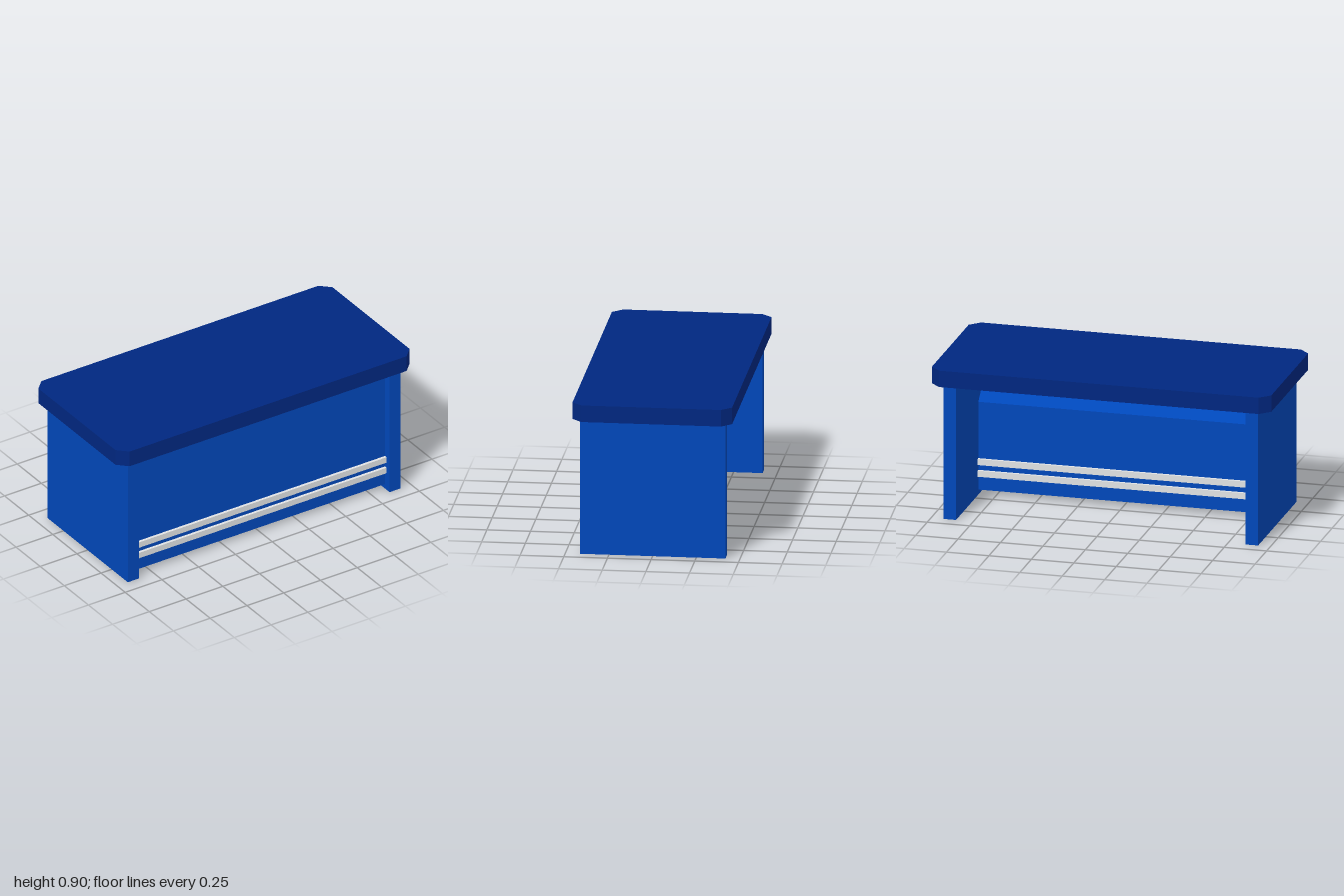
import * as THREE from 'three';

const navy = new THREE.MeshStandardMaterial({ name: 'navy top', color: 0x002780 });
const blue = new THREE.MeshStandardMaterial({ name: 'blue body', color: 0x0047ba });
const silver = new THREE.MeshStandardMaterial({ name: 'silver trim', color: 0xe0e2e4 });

// Prism from a 2D outline, extruded along +z from 0
function prism(points, depth) {
  const shape = new THREE.Shape(points.map(([x, y]) => new THREE.Vector2(x, y)));
  return new THREE.ExtrudeGeometry(shape, { depth, bevelEnabled: false });
}

export function createModel() {
  const desk = new THREE.Group();
  desk.name = 'desk';
  const add = (name, geometry, material) => {
    const mesh = new THREE.Mesh(geometry, material);
    mesh.name = name;
    desk.add(mesh);
    return mesh;
  };

  // Table top with clipped corners
  const w = 1, d = 0.457, c = 0.058;
  const outline = [
    [-w + c, -d], [w - c, -d], [w, -d + c], [w, d - c],
    [w - c, d], [-w + c, d], [-w, d - c], [-w, -d + c],
  ];
  add('tableTop', prism(outline, 0.098).rotateX(-Math.PI / 2).translate(0, 0.8, 0), navy);

  // Side panels
  for (const [name, side] of [['leftSidePanel', 1], ['rightSidePanel', -1]]) {
    add(name, new THREE.BoxGeometry(0.075, 0.8, 0.834), blue).position.set(side * 0.89, 0.4, 0);
  }

  // Cabinet between the sides, its top sloping down to the back (outline is -z, y)
  const inner = 0.853;
  const section = [[-0.37, 0.03], [-0.065, 0.03], [-0.065, 0.555], [-0.27, 0.74], [-0.37, 0.74]];
  add('cabinet', prism(section, inner * 2).rotateY(Math.PI / 2).translate(-inner, 0, 0), blue);

  // Pairs of trim strips on the front and back
  for (const [name, z] of [['frontTrim', 0.377], ['backTrim', 0.058]]) {
    for (const y of [0.13, 0.2]) {
      add(name, new THREE.BoxGeometry(inner * 2, 0.036, 0.02), silver).position.set(0, y, z);
    }
  }
  return desk;
}
